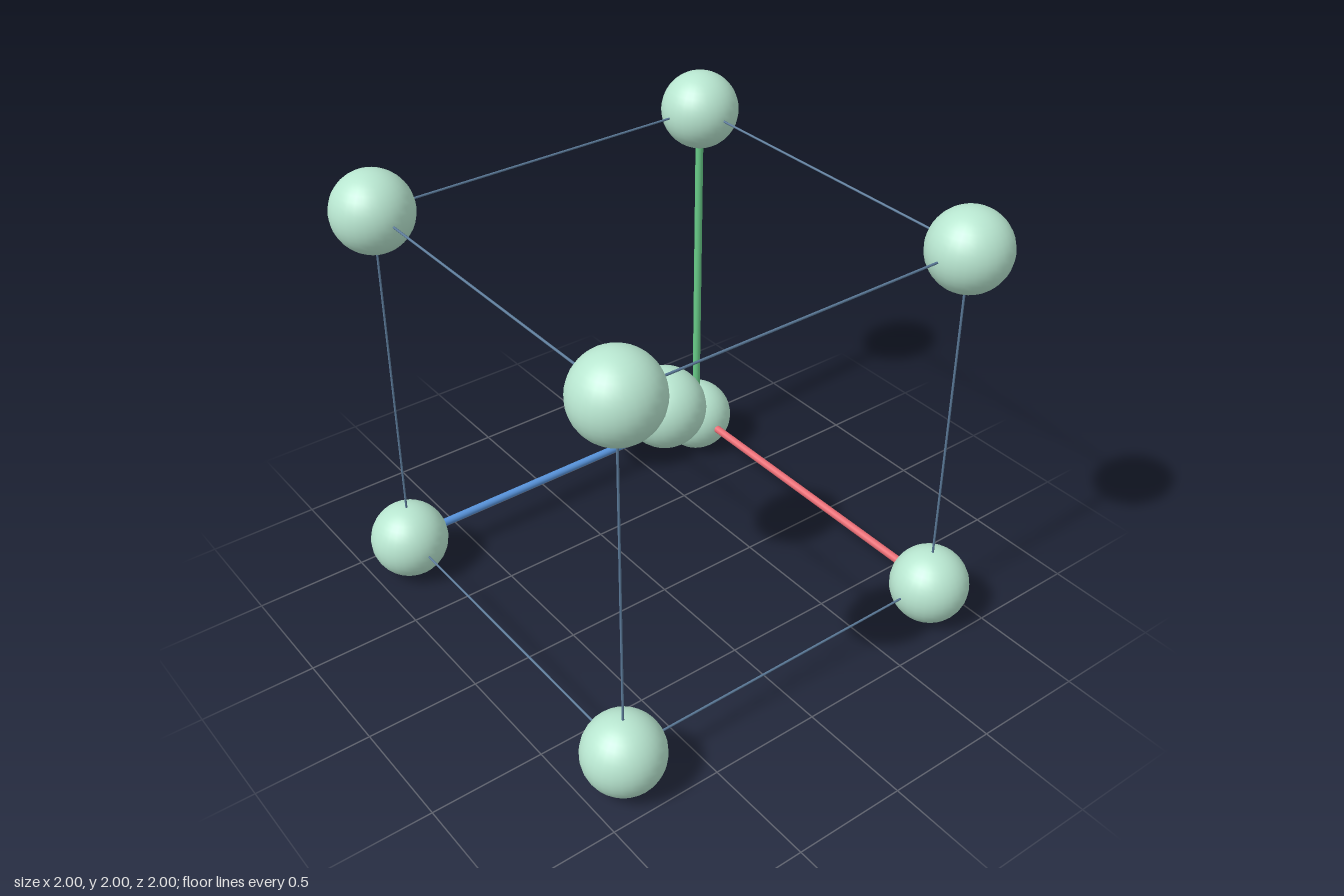
import * as THREE from 'three';

const HALF = 0.826;    // half the edge length of the cell
const BALL = 0.174;    // ball radius
const AXIS_ROD = 0.018;
const EDGE_ROD = 0.005;

function material(name, color) {
  const m = new THREE.MeshStandardMaterial({ color });
  m.name = name;
  return m;
}

export function createModel() {
  const model = new THREE.Group();
  model.name = 'cubicCell';

  const ballMat = material('paleGreen', 0xb8e6d0);
  const edgeMat = material('slateBlue', 0x5b7a99);
  const axes = [
    { name: 'redAxisRod', dir: 'x', mat: material('red', 0xe86c74) },
    { name: 'greenAxisRod', dir: 'y', mat: material('green', 0x68cc88) },
    { name: 'blueAxisRod', dir: 'z', mat: material('blue', 0x5894dc) },
  ];

  // Balls: eight corners and the body centre
  const ballGeo = new THREE.SphereGeometry(BALL, 28, 20);
  const addBall = (name, x, y, z) => {
    const ball = new THREE.Mesh(ballGeo, ballMat);
    ball.name = name;
    ball.position.set(x, y + 1, z);
    model.add(ball);
  };
  addBall('centreBall', 0, 0, 0);
  const ends = [-HALF, HALF];
  for (const x of ends) for (const y of ends) for (const z of ends) addBall('cornerBall', x, y, z);

  // Rods: four edges per direction; those from the origin corner are thick and coloured
  const axisGeo = new THREE.CylinderGeometry(AXIS_ROD, AXIS_ROD, HALF * 2, 16);
  const edgeGeo = new THREE.CylinderGeometry(EDGE_ROD, EDGE_ROD, HALF * 2, 8);
  for (const { name, dir, mat } of axes) {
    const [u, v] = ['x', 'y', 'z'].filter((d) => d !== dir);
    for (const a of ends) for (const b of ends) {
      const isAxis = a < 0 && b < 0;
      const rod = new THREE.Mesh(isAxis ? axisGeo : edgeGeo, isAxis ? mat : edgeMat);
      rod.name = isAxis ? name : 'edgeRod';
      rod.position[u] = a;
      rod.position[v] = b;
      rod.position.y += 1;
      if (dir === 'x') rod.rotation.z = -Math.PI / 2;
      if (dir === 'z') rod.rotation.x = Math.PI / 2;
      model.add(rod);
    }
  }
  return model;
}
